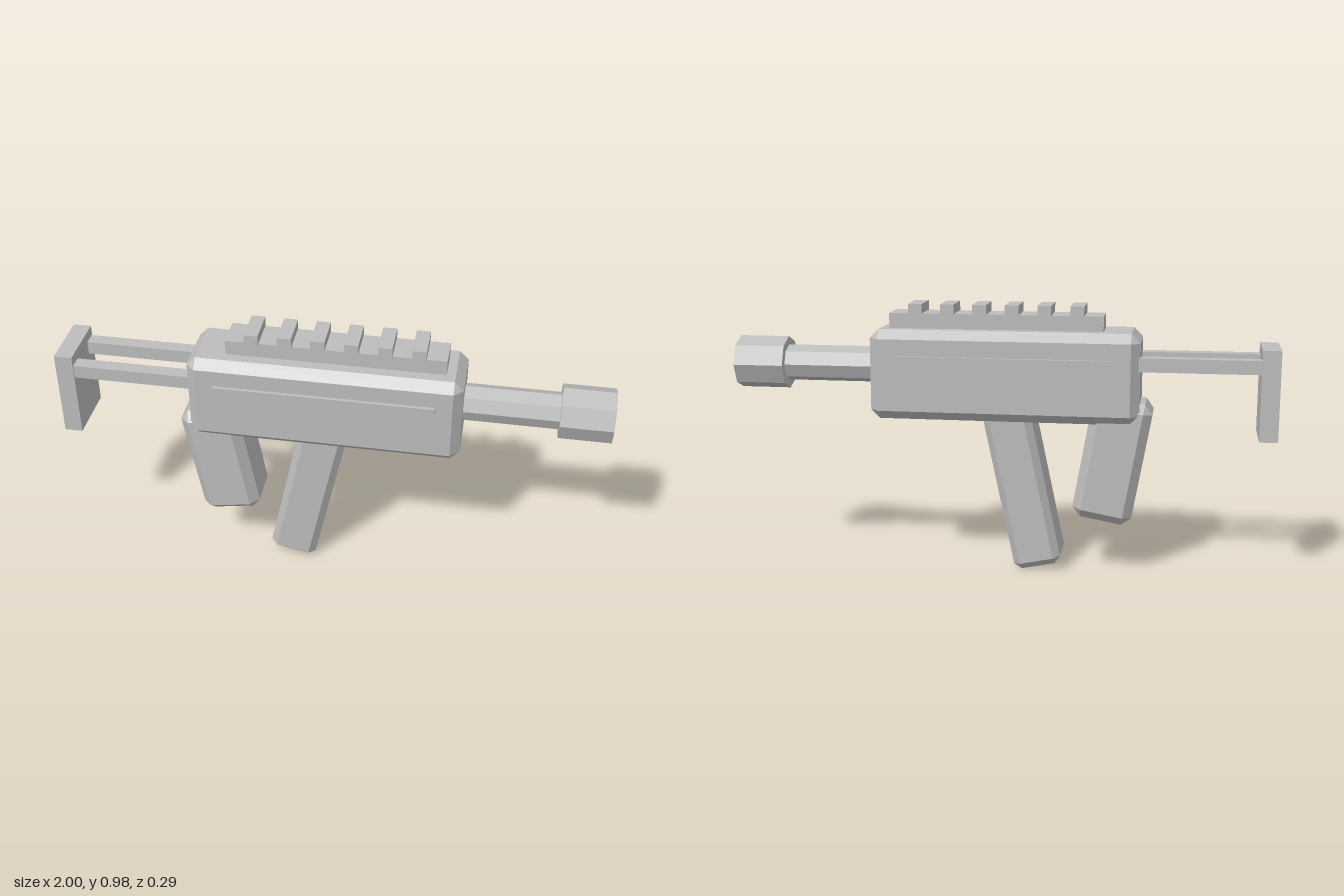
import * as THREE from 'three';
import { ConvexGeometry } from 'three/addons/geometries/ConvexGeometry.js';

const grey = new THREE.MeshStandardMaterial({ color: 0xbcbcbc });
grey.name = 'plain grey';

// Box with every edge cut by a flat chamfer c
function chamferBox(w, h, d, c) {
  const points = [];
  for (const sx of [-1, 1]) for (const sy of [-1, 1]) for (const sz of [-1, 1]) {
    const x = w / 2, y = h / 2, z = d / 2;
    points.push(
      new THREE.Vector3(sx * x, sy * (y - c), sz * (z - c)),
      new THREE.Vector3(sx * (x - c), sy * y, sz * (z - c)),
      new THREE.Vector3(sx * (x - c), sy * (y - c), sz * z));
  }
  return new ConvexGeometry(points);
}

export function createModel() {
  const model = new THREE.Group();
  model.name = 'blockyProp';

  function add(name, geometry, x, y, z = 0, tilt = 0) {
    const mesh = new THREE.Mesh(geometry, grey);
    mesh.name = name;
    mesh.position.set(x, y, z);
    mesh.rotation.z = tilt;
    model.add(mesh);
    return mesh;
  }

  // Box given by its x and y limits
  const box = (name, x0, x1, y0, y1, depth, z = 0) =>
    add(name, new THREE.BoxGeometry(x1 - x0, y1 - y0, depth), (x0 + x1) / 2, (y0 + y1) / 2, z);

  // Eight-sided tube along x, with flat-shaded sides
  function octagon(name, x0, x1, radius) {
    const geometry = new THREE.CylinderGeometry(radius, radius, x1 - x0, 8).toNonIndexed();
    geometry.computeVertexNormals();
    geometry.rotateZ(-Math.PI / 2);
    add(name, geometry, (x0 + x1) / 2, 0.75);
  }

  // Main body
  add('body', chamferBox(0.985, 0.33, 0.264, 0.033), -0.0175, 0.73);

  // Barrel and wider muzzle
  octagon('barrel', 0.45, 0.83, 0.067);
  octagon('muzzle', 0.813, 1, 0.098);

  // Slanted grip and magazine, sunk into the body
  const deg = Math.PI / 180;
  add('grip', chamferBox(0.22, 0.458, 0.21, 0.033), -0.414, 0.4245, 0, 10 * deg);
  add('magazine', chamferBox(0.176, 0.62, 0.198, 0.025), -0.0825, 0.317, 0, -12 * deg);

  // Top rail with six teeth
  box('rail', -0.375, 0.41, 0.885, 0.95, 0.12);
  for (let i = 0; i < 6; i++) {
    const x = -0.28 + i * 0.1185;
    box('railTooth', x - 0.025, x + 0.025, 0.948, 0.985, 0.134);
  }

  // Side strips and stock rods, mirrored
  for (const side of [-1, 1]) {
    box('sideStrip', -0.41, 0.38, 0.765, 0.802, 0.03, side * 0.13);
    box('stockRod', -0.95, -0.48, 0.76, 0.81, 0.05, side * 0.08);
  }

  // Stock end plate
  box('stockPlate', -1, -0.934, 0.52, 0.847, 0.22);

  return model;
}
